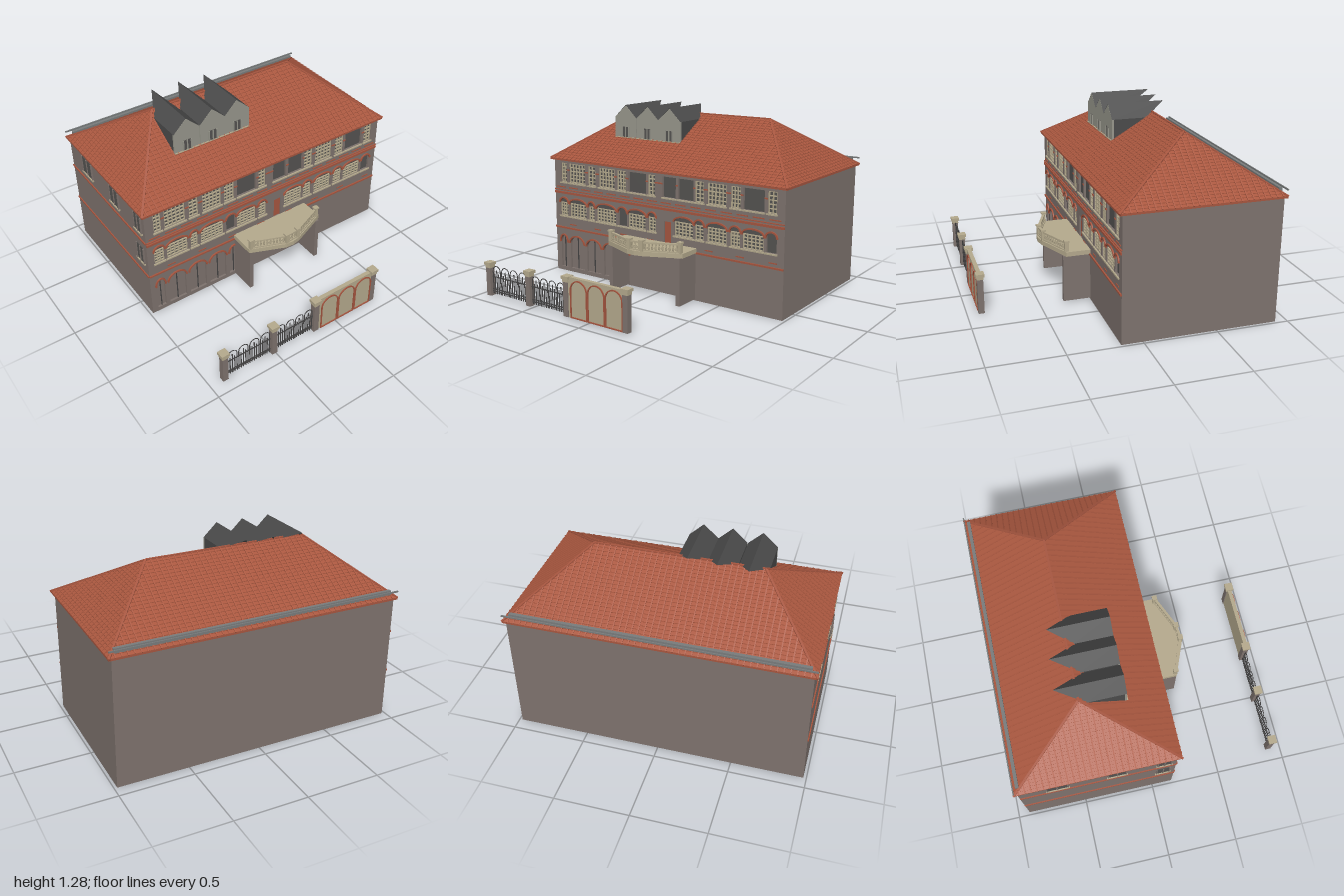
import * as THREE from 'three';

const mat = (name, color) => Object.assign(new THREE.MeshStandardMaterial({ color, side: THREE.DoubleSide }), { name });
const M = {
  wall: mat('grey brown wall', 0x7d726d), roof: mat('clay tile', 0xa9573f), brick: mat('red brick trim', 0xa5553f),
  stone: mat('beige stone', 0xb3a88c), slate: mat('dark slate', 0x4a4a4a), gable: mat('dormer grey', 0x97968b),
  glass: mat('dark glass', 0x545250), iron: mat('wrought iron', 0x454444), metal: mat('gutter metal', 0x777a7a),
};
const lerp = THREE.MathUtils.lerp;
const ZF = 0.145, ZB = -0.92;

const group = (parent, name) => { const g = new THREE.Group(); g.name = name; parent.add(g); return g; };
function add(parent, name, geo, m, x = 0, y = 0, z = 0) {
  const mesh = new THREE.Mesh(geo, m);
  mesh.name = name;
  mesh.position.set(x, y, z);
  parent.add(mesh);
  return mesh;
}
// box given by its limits on each axis
const box = (p, name, m, x0, x1, y0, y1, z0, z1) =>
  add(p, name, new THREE.BoxGeometry(x1 - x0, y1 - y0, z1 - z0), m, (x0 + x1) / 2, (y0 + y1) / 2, (z0 + z1) / 2);
// square bar between two points
function beam(p, name, m, a, b, w, h = w) {
  const A = new THREE.Vector3(...a), B = new THREE.Vector3(...b);
  const mesh = add(p, name, new THREE.BoxGeometry(w, h, A.distanceTo(B)), m);
  mesh.position.copy(A).lerp(B, 0.5);
  mesh.lookAt(B);
}
const extrude = (shape, depth) => new THREE.ExtrudeGeometry(shape, { depth, bevelEnabled: false, curveSegments: 10 });
function quads(list) {
  const pos = [];
  for (const [a, b, c, d] of list) pos.push(...a, ...b, ...c, ...a, ...c, ...d);
  const g = new THREE.BufferGeometry();
  g.setAttribute('position', new THREE.Float32BufferAttribute(pos, 3));
  g.computeVertexNormals();
  return g;
}
// opening with an elliptical head (or square when spring equals top)
function opening(x0, x1, y0, spring, top, S = THREE.Shape) {
  const s = new S();
  s.moveTo(x0, y0); s.lineTo(x1, y0); s.lineTo(x1, spring);
  if (top > spring) s.absellipse((x0 + x1) / 2, spring, (x1 - x0) / 2, top - spring, 0, Math.PI, false);
  else s.lineTo(x0, spring);
  s.closePath();
  return s;
}
// curved band around an arch head
function hood(x0, x1, spring, top, t) {
  const s = new THREE.Shape(), cx = (x0 + x1) / 2, r = (x1 - x0) / 2;
  s.absellipse(cx, spring, r + t, top - spring + t, 0, Math.PI, false);
  s.absellipse(cx, spring, r, top - spring, Math.PI, 0, true);
  s.closePath();
  return extrude(s, 0.012);
}

// window spans: [left, right, plain glass]
const UPPER = [[-.915, -.86], [-.835, -.68], [-.65, -.58], [-.545, -.4], [-.375, -.295], [-.27, -.115, 1], [-.095, -.035],
  [.03, .14, 1], [.16, .285, 1], [.3, .37], [.4, .545], [.58, .655], [.675, .83, 1], [.855, .92]];
const MIDDLE = [[-.93, -.855], [-.835, -.675], [-.65, -.595], [-.57, -.39], [-.365, -.29, 1], [-.275, -.12], [-.095, -.03],
  [.13, .285], [.3, .37], [.4, .55], [.58, .655], [.675, .83], [.85, .925, 1]];
const GROUND = [[-.935, -.87], [-.84, -.705], [-.675, -.54], [-.51, -.375], [-.345, -.27]];

function grid(p, x0, x1, y0, y1, rows) {
  const n = Math.max(2, Math.round((x1 - x0) / 0.03)), z0 = ZF - 0.015, z1 = ZF - 0.005;
  for (let i = 0; i <= n; i++) {
    const x = lerp(x0 + .003, x1 - .003, i / n);
    box(p, 'mullion', M.stone, x - .003, x + .003, y0, y1, z0, z1);
  }
  for (let j = 0; j <= rows; j++) {
    const y = lerp(y0 + .003, y1 - .003, j / rows);
    box(p, 'glazingBar', M.stone, x0, x1, y - .003, y + .003, z0, z1);
  }
}

function facade(root) {
  const g = group(root, 'frontFacade');
  const wall = opening(-.98, .98, 0, .865, .865);
  const rows = [[UPPER, .695, .84, .84], [MIDDLE, .435, .535, .57], [GROUND, .03, .225, .28]];
  rows.forEach(([list, y0, spring, top], r) => list.forEach(([a, b, plain]) => {
    wall.holes.push(opening(a, b, y0, spring, top, THREE.Path));
    add(g, 'windowGlass', new THREE.ShapeGeometry(opening(a, b, y0, spring, top)), r === 2 ? M.wall : M.glass, 0, 0, ZF - .016);
    if (!plain && r < 2) grid(g, a, b, y0, spring, r ? 4 : 5);
    if (r < 2) box(g, 'windowSill', M.stone, a - .008, b + .008, y0 - .01, y0, ZF, ZF + .01);
    if (r > 0) add(g, 'archHood', hood(a, b, spring, top, .011), M.brick, 0, 0, ZF - .002);
    if (r === 2) beam(g, 'mullion', M.iron, [(a + b) / 2, y0, ZF - .01], [(a + b) / 2, top, ZF - .01], .006);
  }));
  // balcony door
  wall.holes.push(opening(.04, .1, .37, .525, .525, THREE.Path));
  box(g, 'balconyDoor', M.brick, .04, .1, .37, .525, ZF - .02, ZF - .01);
  add(g, 'frontWall', extrude(wall, .02), M.wall, 0, 0, ZF - .02);
  // string courses
  for (const [y, h] of [[.335, .012], [.605, .016], [.632, .006]]) box(g, 'brickBand', M.brick, -.98, .98, y, y + h, ZF, ZF + .01);
  for (let i = 0; i < 16; i++) {
    const x = -.96 + i * .122;
    box(g, 'brickDash', M.brick, x, x + .085, .652, .66, ZF, ZF + .005);
    if (i % 2) box(g, 'brickDash', M.brick, x, x + .06, .368, .376, ZF, ZF + .004);
  }
  // brick links between windows
  for (const [list, y] of [[UPPER, .785], [MIDDLE, .528]])
    for (let i = 0; i < list.length - 1; i++)
      if (list[i + 1][0] - list[i][1] < .1) box(g, 'pierBand', M.brick, list[i][1], list[i + 1][0], y, y + .009, ZF, ZF + .005);
}

function sideWalls(root) {
  const g = group(root, 'outerWalls');
  box(g, 'leftWall', M.wall, .97, .98, 0, .865, ZB, ZF - .02);
  box(g, 'rightWall', M.wall, -.98, -.97, 0, .865, ZB, ZF - .02);
  box(g, 'backWall', M.wall, -.98, .98, 0, .865, ZB, ZB + .01);
  for (const y of [.335, .625]) box(g, 'sideBand', M.brick, -.988, -.98, y, y + .012, ZB, ZF);
  for (const [z, w, y] of [[-.66, .14, .695], [-.26, .12, .695], [.06, .09, .695], [.06, .09, .435]]) {
    box(g, 'sideWindow', M.glass, -.985, -.979, y, y + .13, z - w / 2, z + w / 2);
    for (const k of [-.5, 0, .5]) box(g, 'sideMullion', M.wall, -.99, -.98, y, y + .13, z + k * w - .004, z + k * w + .004);
    box(g, 'sideSill', M.stone, -.992, -.98, y - .01, y, z - w / 2 - .01, z + w / 2 + .01);
  }
}

// hip roof section at height t from eaves (0) to ridge (1)
const RY = t => lerp(.872, 1.215, t);
const ring = (t, lift = 0) => {
  const x0 = lerp(-1, -.57, t), x1 = lerp(1, .55, t), z0 = lerp(-.935, -.41, t), z1 = lerp(.17, -.41, t), y = RY(t) + lift;
  return [[x0, y, z1], [x1, y, z1], [x1, y, z0], [x0, y, z0]];
};
function roof(root) {
  const g = group(root, 'hipRoof'), faces = [], N = 24;
  for (let i = 0; i < N; i++) {
    const base = ring(i / N), low = ring(i / N, .005), up = ring((i + 1) / N);
    for (let k = 0; k < 4; k++) {
      const n = (k + 1) % 4;
      faces.push([low[k], low[n], up[n], up[k]], [base[k], base[n], low[n], low[k]]);
    }
  }
  add(g, 'tileCourses', quads(faces), M.roof);
  box(g, 'eaves', M.brick, -1, 1, .862, .874, -.935, .17);
  // tile ribs up each slope
  for (let x = -.96; x < .98; x += .04) {
    const t = x < -.57 ? (x + 1) / .43 : x > .55 ? (1 - x) / .45 : 1;
    for (const z of [.17, -.935]) beam(g, 'tileRib', M.roof, [x, RY(0) + .003, z], [x, RY(t) + .003, lerp(z, -.41, t)], .008);
  }
  for (let z = -.9; z < .15; z += .04) {
    const t = z > -.41 ? (.17 - z) / .58 : (z + .935) / .525;
    beam(g, 'tileRib', M.roof, [-1, RY(0) + .003, z], [lerp(-1, -.57, t), RY(t) + .003, z], .008);
    beam(g, 'tileRib', M.roof, [1, RY(0) + .003, z], [lerp(1, .55, t), RY(t) + .003, z], .008);
  }
  const lo = ring(0), hi = ring(1);
  for (let k = 0; k < 4; k++) beam(g, 'hipCap', M.brick, lo[k], hi[k], .014);
  beam(g, 'ridgeCap', M.brick, hi[0], hi[1], .014);
  box(g, 'rearGutter', M.metal, -.96, .96, .885, .923, -.912, -.89);
  box(g, 'gutterRail', M.metal, -1, 1, .912, .922, -.935, -.927);
}

function dormers(root) {
  const zAt = y => .17 - (y - .872) / .343 * .58;
  [[-.588, -.535], [-.388, -.52], [-.193, -.5]].forEach(([x0, zr]) => {
    const g = group(root, 'dormer'), x1 = x0 + .195, c = (x0 + x1) / 2, z = -.105, yE = 1.185, yR = 1.277, zE = zAt(yE);
    const s = new THREE.Shape([[x0, 1.035], [x1, 1.035], [x1, yE], [c, yR - .004], [x0, yE]].map(p => new THREE.Vector2(...p)));
    add(g, 'dormerFront', extrude(s, .014), M.gable, 0, 0, z - .014);
    box(g, 'dormerWindow', M.glass, c - .03, c + .03, 1.04, 1.115, z, z + .003);
    for (const k of [-.03, 0, .03]) box(g, 'dormerMullion', M.gable, c + k - .004, c + k + .004, 1.04, 1.115, z, z + .007);
    box(g, 'dormerSill', M.stone, x0, x1, 1.03, 1.04, z - .005, z + .008);
    add(g, 'dormerRoof', quads([
      [[x1, yE, z], [x1, yE, zE], [c, yR, zr - .015], [c, yR, z]],
      [[x0, yE, zE], [x0, yE, z], [c, yR, z], [c, yR, zr - .015]]]), M.slate);
    for (const x of [x0, x1])
      add(g, 'dormerCheek', quads([[[x, 1.035, z - .014], [x, 1.035, zAt(1.035)], [x, yE, zE], [x, yE, z - .014]]]), M.slate);
  });
}

function balcony(root) {
  const g = group(root, 'balcony');
  const pts = [[-.305, ZF], [-.305, .335], [-.06, .435], [0, .438], [.06, .425], [.315, .315], [.315, ZF]];
  const slab = add(g, 'balconySlab', extrude(new THREE.Shape(pts.map(([x, z]) => new THREE.Vector2(x, -z))), .032), M.stone, 0, .342, 0);
  slab.rotation.x = -Math.PI / 2;
  box(g, 'supportWall', M.wall, -.3, -.27, .01, .342, ZF, .335);
  box(g, 'supportWall', M.wall, .275, .305, .01, .342, ZF, .335);
  // balustrade with posts
  const path = [[-.285, .328], [-.05, .42], [.05, .412], [.292, .308]];
  path.forEach(([x, z], i) => {
    box(g, 'balconyPost', M.stone, x - .013, x + .013, .37, .44, z - .013, z + .013);
    box(g, 'postCap', M.stone, x - .018, x + .018, .44, .452, z - .018, z + .018);
    if (i === 3) return;
    const [u, w] = path[i + 1], n = Math.round(Math.hypot(u - x, w - z) / .024);
    beam(g, 'topRail', M.stone, [x, .434, z], [u, .434, w], .018, .012);
    beam(g, 'bottomRail', M.stone, [x, .38, z], [u, .38, w], .018, .01);
    const prof = [[.004, 0], [.008, .015], [.004, .03], [.006, .048]].map(p => new THREE.Vector2(...p));
    for (let k = 1; k < n; k++)
      add(g, 'baluster', new THREE.LatheGeometry(prof, 6), M.stone, lerp(x, u, k / n), .382, lerp(z, w, k / n));
  });
}

function fence(root) {
  const g = group(root, 'streetFence'), z = .907;
  for (const [x, top] of [[-.897, .255], [-.517, .262], [-.175, .29], [.315, .3]]) {
    box(g, 'pillar', M.wall, x - .02, x + .02, .015, top - .03, z - .02, z + .02);
    box(g, 'pillarCollar', M.stone, x - .023, x + .023, top - .04, top - .02, z - .023, z + .023);
    box(g, 'pillarCap', M.stone, x - .029, x + .029, top - .02, top, z - .029, z + .029);
  }
  // hooped iron railings
  for (const [a, b] of [[-.875, -.54], [-.495, -.195]]) {
    for (const y of [.045, .06, .15]) box(g, 'ironRail', M.iron, a, b, y, y + .006, z - .003, z + .003);
    const w = (b - a) / 4, r = w * .42;
    for (let i = 0; i < 4; i++) {
      const c = a + w * (i + .5);
      add(g, 'ironHoop', new THREE.TorusGeometry(r, .003, 5, 12, Math.PI), M.iron, c, .195, z);
      for (const [k, top] of [[-r, .195], [-r / 2, .175], [0, .2], [r / 2, .175], [r, .195]])
        beam(g, 'ironBar', M.iron, [c + k, .03, z], [c + k, top, z], .005);
    }
  }
  // gate panel with three red arches
  box(g, 'gatePanel', M.stone, -.155, .295, .015, .288, z - .014, z + .014);
  for (const c of [-.065, .08, .225]) {
    const frame = opening(c - .071, c + .071, .016, .205, .275);
    frame.holes.push(opening(c - .063, c + .063, .024, .205, .267, THREE.Path));
    add(g, 'gateArch', extrude(frame, .008), M.brick, 0, 0, z + .013);
  }
}

export function createModel() {
  const root = new THREE.Group();
  root.name = 'house';
  for (const build of [facade, sideWalls, roof, dormers, balcony, fence]) build(root);
  return root;
}
